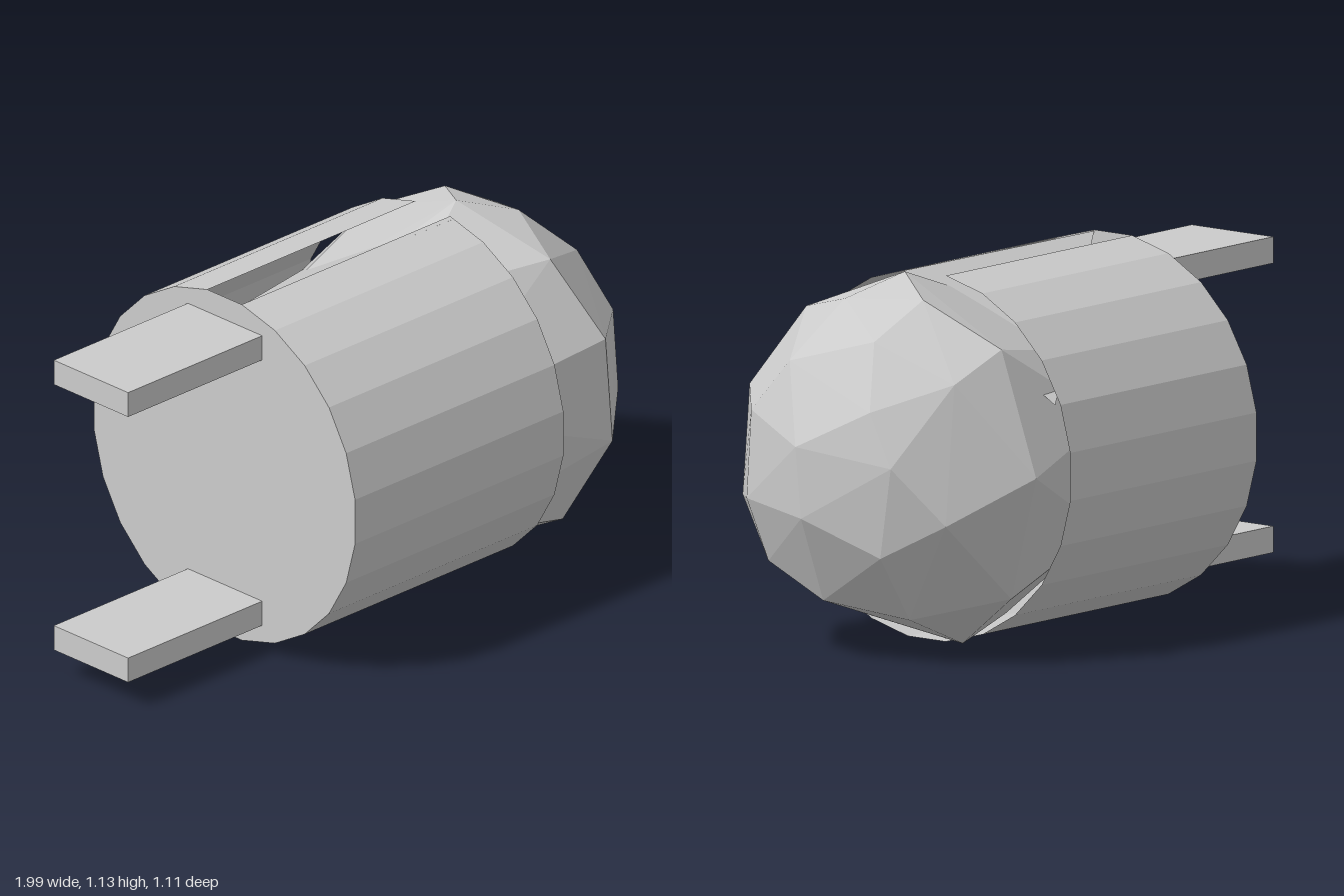
import * as THREE from 'three';
import { ConvexGeometry } from 'three/addons/geometries/ConvexGeometry.js';

const CY = 0.57;           // height of the long axis
const BACK = -0.44, FRONT = 0.43;
const R = 0.558, SIDES = 24, STEP = (Math.PI * 2) / SIDES;

export function createModel() {
  const group = new THREE.Group();
  const material = new THREE.MeshStandardMaterial({
    color: 0xcccccc, flatShading: true, side: THREE.DoubleSide,
  });
  const add = (name, geometry, x, y, z) => {
    const mesh = new THREE.Mesh(geometry, material);
    mesh.name = name;
    mesh.position.set(x, y, z);
    group.add(mesh);
    return mesh;
  };

  // Tubular housing along x, with one facet left open on top
  const shell = new THREE.CylinderGeometry(
    R, R, FRONT - BACK, SIDES - 1, 1, true, Math.PI / 2 + STEP / 2, Math.PI * 2 - STEP);
  shell.rotateZ(Math.PI / 2);
  add('housing', shell, (FRONT + BACK) / 2, CY, -0.005);

  // Flat end plate that carries the prongs
  const plate = new THREE.CircleGeometry(R, SIDES, STEP / 2);
  plate.rotateY(-Math.PI / 2);
  add('endPlate', plate, BACK, CY, -0.005);

  // Slanted panel falling into the open slot
  const panel = new THREE.BufferGeometry();
  panel.setAttribute('position', new THREE.Float32BufferAttribute(
    [BACK, 1.12, 0.068, FRONT, 1.12, 0.085, FRONT, 0.78, -0.5], 3));
  panel.computeVertexNormals();
  add('slotPanel', panel, 0, 0, 0);

  // Faceted ball: [z, y] of the outer corners, lifted onto a sphere
  const corners = [
    [0.1, 1.07], [-0.115, 0.98], [-0.37, 0.87], [-0.275, 0.63], [0.04, 0.67],
    [0.295, 0.74], [0.165, 0.9], [-0.19, 0.79], [-0.15, 1.085], [0.295, 0.475],
    [0.02, 0.455], [-0.22, 0.35], [-0.4, 0.455], [0.265, 0.28], [0.05, 0.185],
    [-0.2, 0.14], [0.47, 0.77], [0.485, 0.435], [0.4, 0.19], [-0.42, 0.2],
    [-0.55, 0.585], [-0.4, 0.955], [0.32, 1.01], [0.02, 1.135], [-0.165, 0.025],
  ];
  const ballRadius = 0.57;
  const points = [];
  for (const [z, y] of corners) {
    const dy = y - CY;
    const x = Math.sqrt(Math.max(0, ballRadius ** 2 - dy * dy - z * z));
    points.push(new THREE.Vector3(x, dy, z));
    // matching corner on the hidden half inside the housing
    if (x > 0.2) points.push(new THREE.Vector3(-x, -dy, -z));
  }
  points.push(new THREE.Vector3(-0.09, -0.564, 0));
  add('dome', new ConvexGeometry(points), FRONT, CY, 0);

  // Two flat prongs, reaching a little way into the housing
  for (const [name, y] of [['upperProng', 1.01], ['lowerProng', 0.135]]) {
    add(name, new THREE.BoxGeometry(0.64, 0.08, 0.315), -0.68, y, -0.003);
  }

  return group;
}
